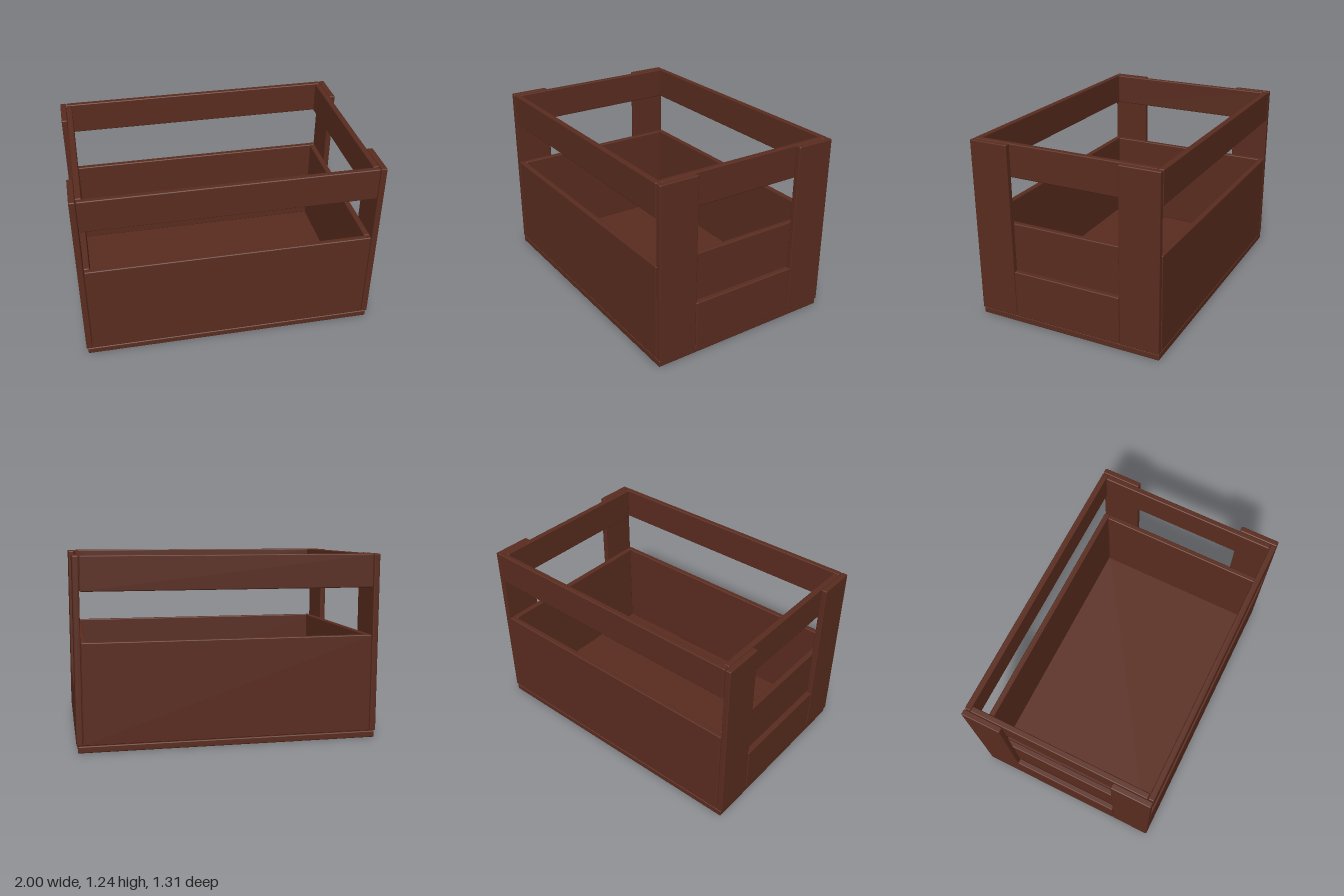
import * as THREE from 'three';
import { RoundedBoxGeometry } from 'three/addons/geometries/RoundedBoxGeometry.js';

const wood = new THREE.MeshStandardMaterial({ color: 0x5a2c1f });

// A plank with softened edges, given by its extents on each axis
function plank(name, [x0, x1], [y0, y1], [z0, z1]) {
  const geometry = new RoundedBoxGeometry(x1 - x0, y1 - y0, z1 - z0, 2, 0.007);
  const mesh = new THREE.Mesh(geometry, wood);
  mesh.name = name;
  mesh.position.set((x0 + x1) / 2, (y0 + y1) / 2, (z0 + z1) / 2);
  return mesh;
}

// Extents mirrored to the given side of an axis
const span = (side, inner, outer) => side > 0 ? [inner, outer] : [-outer, -inner];

export function createModel() {
  const crate = new THREE.Group();
  crate.name = 'crate';

  crate.add(plank('bottomBoard', [-0.99, 0.99], [0, 0.044], [-0.655, 0.655]));

  // Long walls: a tall lower board and a top rail
  for (const side of [1, -1]) {
    const end = side > 0 ? 'front' : 'back';
    const z = span(side, 0.617, 0.656);
    crate.add(plank(end + 'Board', [-0.956, 0.956], [0.047, 0.702], z));
    crate.add(plank(end + 'Rail', [-0.956, 0.956], [1.018, 1.24], z));
  }

  // Short walls: inner board and rail, outer low board between two posts
  for (const side of [1, -1]) {
    const end = side > 0 ? 'left' : 'right';
    const inner = span(side, 0.92, 0.959);
    const outer = span(side, 0.96, 1);
    crate.add(plank(end + 'InnerBoard', inner, [0.047, 0.702], [-0.616, 0.616]));
    crate.add(plank(end + 'Rail', inner, [1.018, 1.24], [-0.616, 0.616]));
    crate.add(plank(end + 'OuterBoard', outer, [0.047, 0.376], [-0.382, 0.382]));
    for (const corner of [1, -1]) {
      const name = end + (corner > 0 ? 'Front' : 'Back') + 'Post';
      crate.add(plank(name, outer, [0.047, 1.24], span(corner, 0.385, 0.656)));
    }
  }
  return crate;
}
